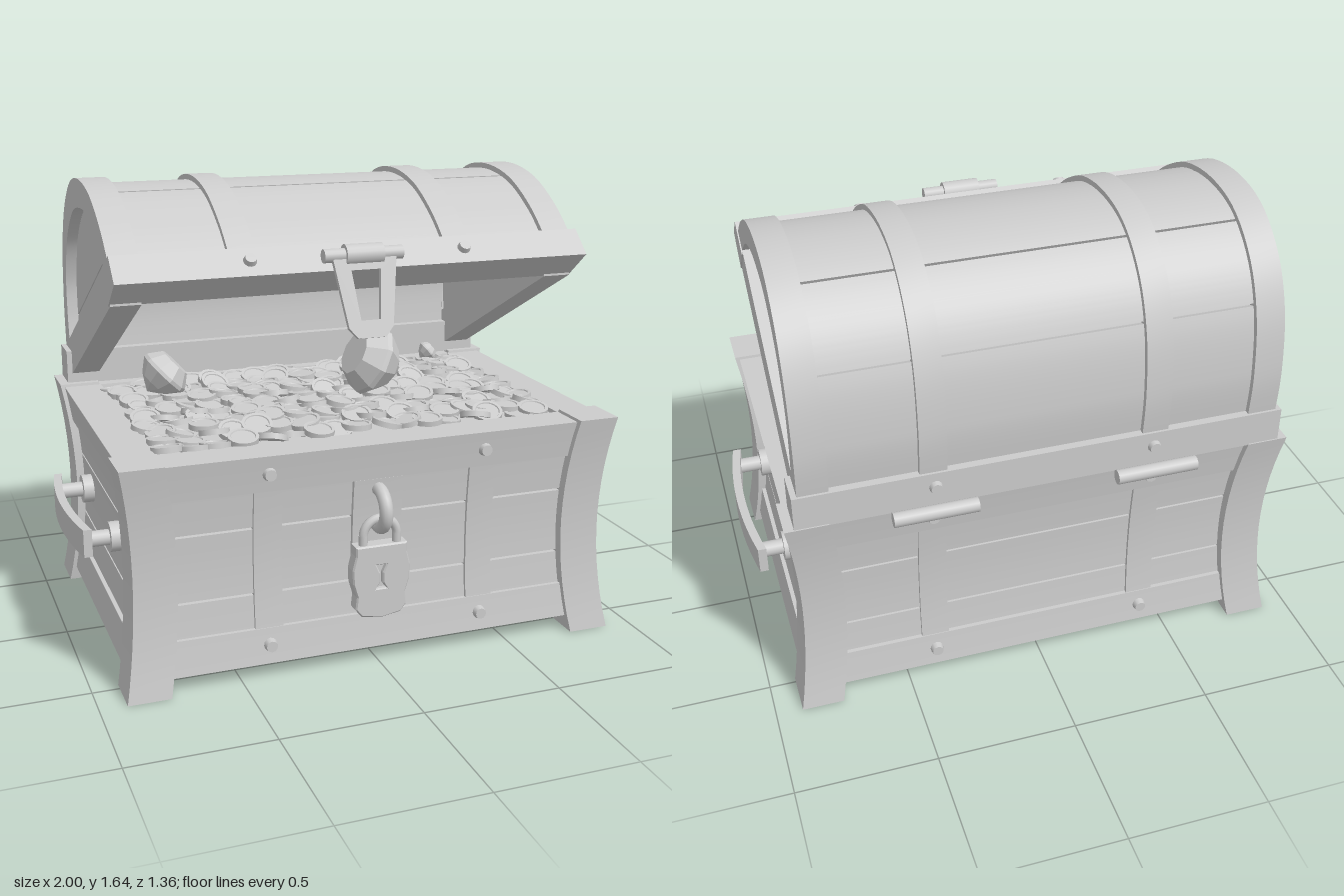
import * as THREE from 'three';
import { toCreasedNormals } from 'three/addons/utils/BufferGeometryUtils.js';

const smooth = new THREE.MeshStandardMaterial({ color: 0xcccccc });
const faceted = new THREE.MeshStandardMaterial({ color: 0xcccccc, flatShading: true });
const V2 = (a) => new THREE.Vector2(a[0], a[1]);

function add(parent, name, geo, x = 0, y = 0, z = 0, mat = smooth) {
  const m = new THREE.Mesh(geo, mat);
  m.name = name;
  m.position.set(x, y, z);
  parent.add(m);
  return m;
}

// Inward bow of the chest sides, greatest at mid height
const bow = (y) => 0.04 * (1 - ((y - 0.41) / 0.41) ** 2);

// Box whose outer z (and optionally x) follows the bow
function bentBox(w, h, d, x, y, z, sx = 0, sz = 1) {
  const g = new THREE.BoxGeometry(w, h, d, 1, Math.max(2, Math.round(h * 16)), 1).translate(x, y, z);
  const p = g.attributes.position;
  for (let i = 0; i < p.count; i++) {
    const b = bow(p.getY(i));
    p.setX(i, p.getX(i) - sx * b);
    p.setZ(i, p.getZ(i) - sz * b);
  }
  return toCreasedNormals(g, 0.5);
}

// Side profile given as (z, y) points, extruded along x and centred on cx
function sideExtrude(points, width, cx = 0, hole) {
  const s = new THREE.Shape(points);
  if (hole) s.holes.push(new THREE.Path(hole));
  const g = new THREE.ExtrudeGeometry(s, { depth: width, bevelEnabled: false });
  return toCreasedNormals(g.translate(0, 0, -width / 2).rotateY(-Math.PI / 2).translate(cx, 0, 0), 0.4);
}

// Lid arch and the recessed opening in its ends
const arch = new THREE.SplineCurve([[0.32, 1.43], [0.2, 1.526], [0.026, 1.613], [-0.178, 1.643],
  [-0.365, 1.609], [-0.517, 1.49], [-0.604, 1.317], [-0.635, 1.1], [-0.626, 0.92]].map(V2));
const opening = new THREE.SplineCurve([[0.24, 1.396], [0.113, 1.485], [-0.02, 1.533], [-0.148, 1.543],
  [-0.32, 1.51], [-0.474, 1.39], [-0.548, 1.23], [-0.557, 1.1], [-0.543, 0.983]].map(V2));

function sample(curve, t0, t1, inset = 0, n = 36) {
  const out = [];
  for (let i = 0; i <= n; i++) {
    const t = t0 + (t1 - t0) * i / n, p = curve.getPointAt(t), d = curve.getTangentAt(t);
    out.push(new THREE.Vector2(p.x - d.y * inset, p.y + d.x * inset));
  }
  return out;
}
const band = (in0, in1, t0, t1, width, cx) =>
  sideExtrude([...sample(arch, t0, t1, in0), ...sample(arch, t0, t1, in1).reverse()], width, cx);

function bolt(parent, x, y, z, tilt = Math.PI / 2) {
  add(parent, 'bolt', new THREE.CylinderGeometry(0.02, 0.026, 0.03, 12), x, y, z).rotation.x = tilt;
}

function wall(parent, name, len, dist, angle, straps) {
  const g = new THREE.Group();
  g.name = name;
  g.rotation.y = angle;
  parent.add(g);
  for (const [y0, y1] of [[0.055, 0.18], [0.675, 0.805]])
    add(g, 'rail', bentBox(len, y1 - y0, 0.14, 0, (y0 + y1) / 2, dist - 0.07));
  for (const [y0, y1] of [[0.18, 0.298], [0.306, 0.537], [0.545, 0.675]])
    add(g, 'plank', bentBox(len, y1 - y0, 0.1, 0, (y0 + y1) / 2, dist - 0.065));
  add(g, 'wallLining', bentBox(len, 0.7, 0.07, 0, 0.43, dist - 0.075));
  if (straps) for (const x of [-0.395, 0.395]) {
    add(g, 'strap', bentBox(0.1, 0.5, 0.05, x, 0.427, dist - 0.028));
    for (const y of [0.12, 0.74]) bolt(g, x, y, dist - bow(y) + 0.005);
  }
}

function buildBase(root) {
  const base = new THREE.Group();
  base.name = 'chestBase';
  base.position.z = -0.006;
  root.add(base);
  for (const sx of [-1, 1]) for (const sz of [-1, 1])
    add(base, 'cornerPost', bentBox(0.15, 0.815, 0.16, sx * 0.83, 0.4075, sz * 0.557, sx, sz));
  wall(base, 'frontWall', 1.54, 0.615, 0, true);
  wall(base, 'backWall', 1.54, 0.615, Math.PI, true);
  wall(base, 'rightWall', 1.0, 0.89, -Math.PI / 2, false);
  wall(base, 'leftWall', 1.0, 0.89, Math.PI / 2, false);
  add(base, 'floor', new THREE.BoxGeometry(1.66, 0.04, 1.12), 0, 0.085, 0);
  add(base, 'treasureBed', new THREE.BoxGeometry(1.54, 0.1, 0.98), 0, 0.74, 0);

  // Carrying handles
  for (const s of [-1, 1]) {
    const h = new THREE.Group();
    h.name = 'handle';
    base.add(h);
    const bar = new THREE.BoxGeometry(0.03, 0.1, 0.625, 1, 1, 14), p = bar.attributes.position;
    for (let i = 0; i < p.count; i++) p.setX(i, p.getX(i) - s * 0.03 * (p.getZ(i) / 0.31) ** 2);
    add(h, 'handleBar', toCreasedNormals(bar, 0.5), s * 0.985, 0.455, -0.012);
    for (const z of [-0.265, 0.26]) {
      add(h, 'standoff', new THREE.CylinderGeometry(0.028, 0.028, 0.13, 16), s * 0.9, 0.455, z).rotation.z = Math.PI / 2;
      add(h, 'flange', new THREE.CylinderGeometry(0.053, 0.053, 0.04, 20), s * 0.855, 0.455, z).rotation.z = Math.PI / 2;
    }
  }
}

function buildLid(root) {
  const lid = new THREE.Group();
  lid.name = 'lid';
  root.add(lid);
  // Barrel planks with narrow gaps over a lining
  const cuts = [0, 0.27, 0.51, 0.715, 1];
  for (let i = 0; i < 4; i++)
    add(lid, 'barrelPlank', band(0.02, 0.06, cuts[i], cuts[i + 1] - (i < 3 ? 0.006 : 0), 1.5, 0));
  add(lid, 'barrelLining', band(0.045, 0.085, 0, 1, 1.5, 0));
  for (const x of [-0.395, 0.395]) add(lid, 'lidStrap', band(0, 0.04, 0, 1, 0.095, x));

  // Arched end frames and their planks
  const rim = [...sample(arch, 0, 1), V2([-0.51, 0.85]), V2([0.33, 1.283])];
  for (const s of [-1, 1]) {
    add(lid, 'endFrame', sideExtrude(rim, 0.105, s * 0.798, sample(opening, 0, 1)));
    add(lid, 'endLining', sideExtrude(sample(opening, 0, 1), 0.02, s * 0.765));
    const planks = [[0, 0.07, 0.93, 1], [0.076, 0.49, 0.6, 0.924], [0.496, 0.54, 0.55, 0.594]];
    for (const [a, b, c, d] of planks)
      add(lid, 'endPlank', sideExtrude([...sample(opening, a, b, 0, 16), ...sample(opening, c, d, 0, 16)], 0.04, s * 0.79));
  }

  // Front and rear lid rails
  add(lid, 'lidFrontRail', sideExtrude([[0.435, 1.375], [0.35, 1.455], [0.23, 1.385], [0.32, 1.283]].map(V2), 1.71));
  add(lid, 'hingeRail', new THREE.BoxGeometry(1.74, 0.13, 0.13), 0, 0.875, -0.572);
  for (const s of [-1, 1]) {
    bolt(lid, s * 0.39, 1.42, 0.393, 0.74);
    bolt(lid, s * 0.39, 0.885, -0.64, -Math.PI / 2);
    add(lid, 'hingePin', new THREE.CylinderGeometry(0.026, 0.026, 0.295, 16), s * 0.397, 0.795, -0.657).rotation.z = Math.PI / 2;
  }

  // Hanging hasp
  const hasp = new THREE.Group();
  hasp.name = 'hasp';
  hasp.position.set(-0.005, 1.425, 0.43);
  lid.add(hasp);
  for (const [r, l] of [[0.024, 0.285], [0.037, 0.135]])
    add(hasp, 'haspBarrel', new THREE.CylinderGeometry(r, r, l, 16)).rotation.z = Math.PI / 2;
  const outline = [[-0.115, -0.01], [-0.08, -0.25], [-0.05, -0.285], [0.05, -0.285], [0.08, -0.25], [0.115, -0.01]].map(V2);
  const slot = [[-0.053, -0.055], [-0.035, -0.225], [0.035, -0.225], [0.053, -0.055]].map(V2);
  const plate = new THREE.Shape(outline);
  plate.holes.push(new THREE.Path(slot));
  add(hasp, 'haspPlate', new THREE.ExtrudeGeometry(plate, { depth: 0.018, bevelEnabled: false })).rotation.x = -0.29;
}

function buildLock(root) {
  const lock = new THREE.Group();
  lock.name = 'padlock';
  root.add(lock);
  add(lock, 'lockBackplate', bentBox(0.18, 0.37, 0.05, 0, 0.49, 0.585));
  add(lock, 'lockRing', new THREE.TorusGeometry(0.068, 0.024, 12, 28), 0, 0.57, 0.588).rotation.y = Math.PI / 2;
  add(lock, 'shackle', new THREE.TorusGeometry(0.062, 0.016, 10, 20, Math.PI), 0, 0.475, 0.6);
  for (const s of [-1, 1])
    add(lock, 'shackleLeg', new THREE.CylinderGeometry(0.016, 0.016, 0.06, 10), s * 0.062, 0.45, 0.6);
  const half = [[0.07, 0.19], [0.09, 0.215], [0.085, 0.26], [0.1, 0.31], [0.102, 0.36], [0.09, 0.41], [0.09, 0.44]];
  const body = new THREE.Shape([V2([0, 0.178]), ...half.map(V2), ...half.map(([x, y]) => V2([-x, y])).reverse()]);
  const key = [[0.025, 0.28], [0.01, 0.305], [0.01, 0.34], [0.025, 0.375]];
  body.holes.push(new THREE.Path([...key.map(V2), ...key.map(([x, y]) => V2([-x, y])).reverse()]));
  add(lock, 'lockBody', new THREE.ExtrudeGeometry(body, { depth: 0.045, bevelThickness: 0.006, bevelSize: 0.005, bevelSegments: 1 }), 0, 0, 0.572);
  add(lock, 'keyholeBack', new THREE.BoxGeometry(0.12, 0.16, 0.03), 0, 0.325, 0.587);
}

function buildTreasure(root) {
  const hoard = new THREE.Group();
  hoard.name = 'treasure';
  root.add(hoard);
  let seed = 7;
  const rnd = () => (seed = (seed * 16807) % 2147483647) / 2147483647 - 0.5;

  // Coins with raised rims, heaped slightly towards the middle
  const coin = toCreasedNormals(new THREE.LatheGeometry([[0, -0.006], [0.042, -0.006], [0.044, -0.01], [0.055, -0.01],
    [0.055, 0.01], [0.044, 0.01], [0.042, 0.006], [0, 0.006]].map(V2), 16), 0.6);
  for (let i = 0; i < 17; i++) for (let j = 0; j < 11; j++) {
    const x = -0.69 + i * 0.0863 + rnd() * 0.04, z = -0.41 + j * 0.082 + rnd() * 0.04;
    const rise = 0.035 * (1 - (x / 0.75) ** 2) * (1 - (z / 0.5) ** 2);
    const c = add(hoard, 'coin', coin, x, 0.802 + rise + rnd() * 0.02, z);
    c.rotation.set(rnd() * 0.6, rnd() * 6, rnd() * 0.6);
  }

  // Cut gems lying on their sides
  const gem = new THREE.LatheGeometry([[0, -0.9], [0.62, -0.5], [1, 0], [0.98, 0.14], [0.62, 0.62], [0, 0.62]].map(V2), 10);
  for (const [r, x, y, z, tilt] of [[0.133, 0.16, 0.965, 0.115, 1.1], [0.1, -0.56, 0.9, -0.195, -0.8], [0.045, 0.62, 0.84, -0.41, -0.9]]) {
    const g = add(hoard, 'gem', gem, x, y, z, faceted);
    g.scale.setScalar(r);
    g.rotation.set(0.1, 0, tilt);
  }
}

export function createModel() {
  const root = new THREE.Group();
  root.name = 'treasureChest';
  buildBase(root);
  buildLid(root);
  buildLock(root);
  buildTreasure(root);
  return root;
}
